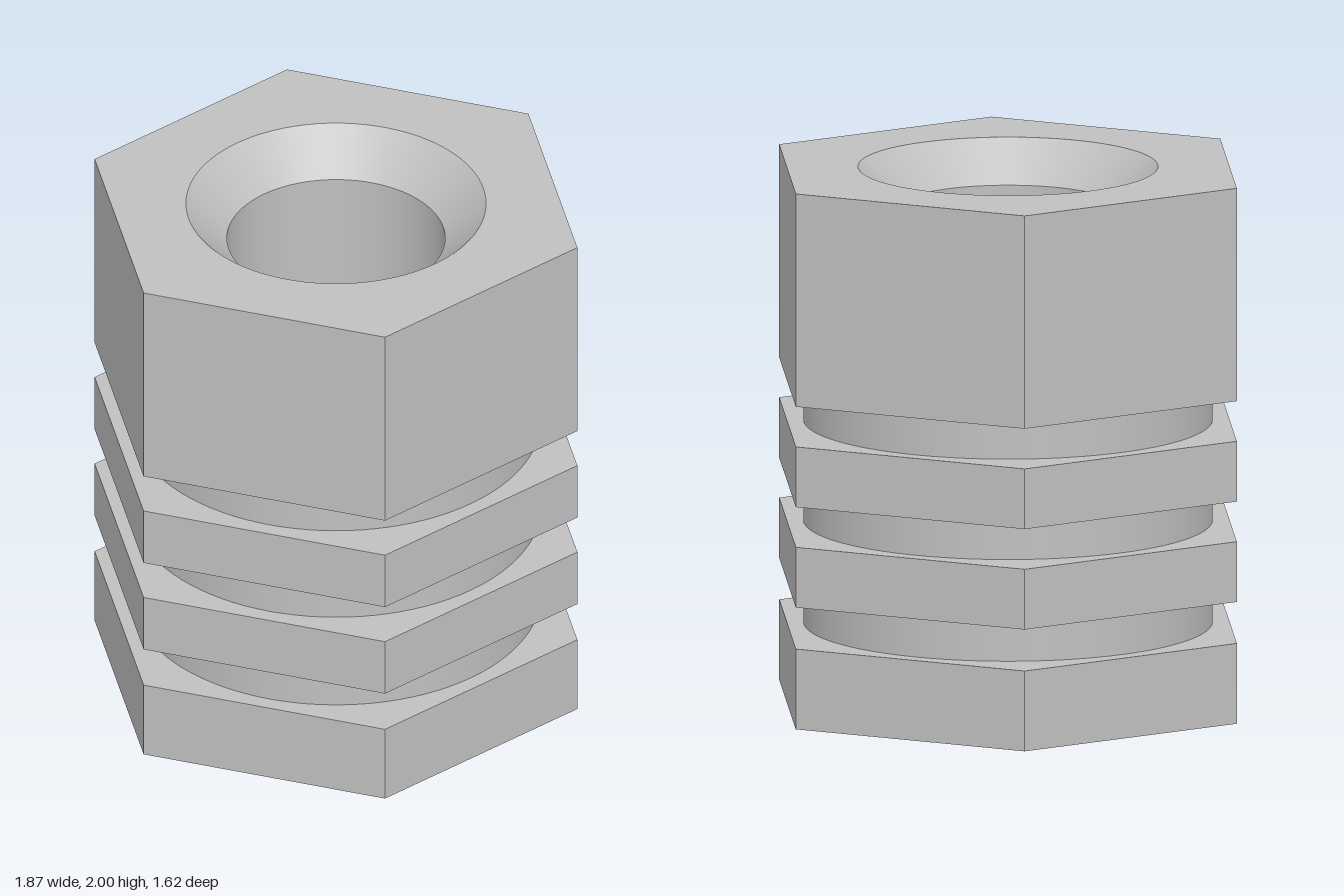
import * as THREE from 'three';

const HEX_R = 0.935, NECK_R = 0.75, BORE_R = 0.4, MOUTH_R = 0.55;
const CHAMFER_Y = 1.85, FLOOR_Y = 0.3, TOP_Y = 2;

// Hexagon with corners on the x axis, optionally with a round hole
function hexShape(holeRadius) {
  const points = [];
  for (let i = 0; i < 6; i++) {
    const a = (i * Math.PI) / 3;
    points.push(new THREE.Vector2(HEX_R * Math.cos(a), HEX_R * Math.sin(a)));
  }
  const shape = new THREE.Shape(points);
  if (holeRadius) {
    shape.holes.push(new THREE.Path().absarc(0, 0, holeRadius, 0, Math.PI * 2, true));
  }
  return shape;
}

export function createModel() {
  const group = new THREE.Group();
  const steel = new THREE.MeshStandardMaterial({ color: 0xc0c0c0 });
  steel.name = 'steel grey';

  function add(name, geometry, parent = group) {
    const mesh = new THREE.Mesh(geometry, steel);
    mesh.name = name;
    parent.add(mesh);
  }

  // Flat hexagonal face, pointing up or down
  function hexFace(y, up, holeRadius) {
    return new THREE.ShapeGeometry(hexShape(holeRadius), 48)
      .rotateX(up ? -Math.PI / 2 : Math.PI / 2)
      .translate(0, y, 0);
  }

  // Round surface swept from one (radius, y) to the next
  function ring(r0, y0, r1, y1) {
    return new THREE.LatheGeometry([new THREE.Vector2(r0, y0), new THREE.Vector2(r1, y1)], 96);
  }

  // Hexagonal sections from bottom to top; round necks fill the gaps
  const sections = [
    ['baseFlange', 0, 0.3],
    ['lowerFlange', 0.455, 0.68],
    ['upperFlange', 0.83, 1.055],
    ['hexHead', 1.205, TOP_Y],
  ];
  sections.forEach(([name, y0, y1], i) => {
    const section = new THREE.Group();
    section.name = name;
    group.add(section);

    const walls = new THREE.CylinderGeometry(HEX_R, HEX_R, y1 - y0, 6, 1, true, Math.PI / 6)
      .translate(0, (y0 + y1) / 2, 0)
      .toNonIndexed();
    walls.computeVertexNormals();
    add(name + 'Walls', walls, section);

    const last = i === sections.length - 1;
    add(name + 'Top', hexFace(y1, true, last ? MOUTH_R : NECK_R), section);
    add(name + 'Bottom', hexFace(y0, false, i === 0 ? 0 : NECK_R), section);
    if (!last) add('neck' + (i + 1), ring(NECK_R, y1, NECK_R, sections[i + 1][1]));
  });

  // Blind bore with a countersunk mouth
  add('countersink', ring(MOUTH_R, TOP_Y, BORE_R, CHAMFER_Y));
  add('boreWall', ring(BORE_R, CHAMFER_Y, BORE_R, FLOOR_Y));
  add('boreFloor', ring(BORE_R, FLOOR_Y, 0, FLOOR_Y));

  return group;
}
